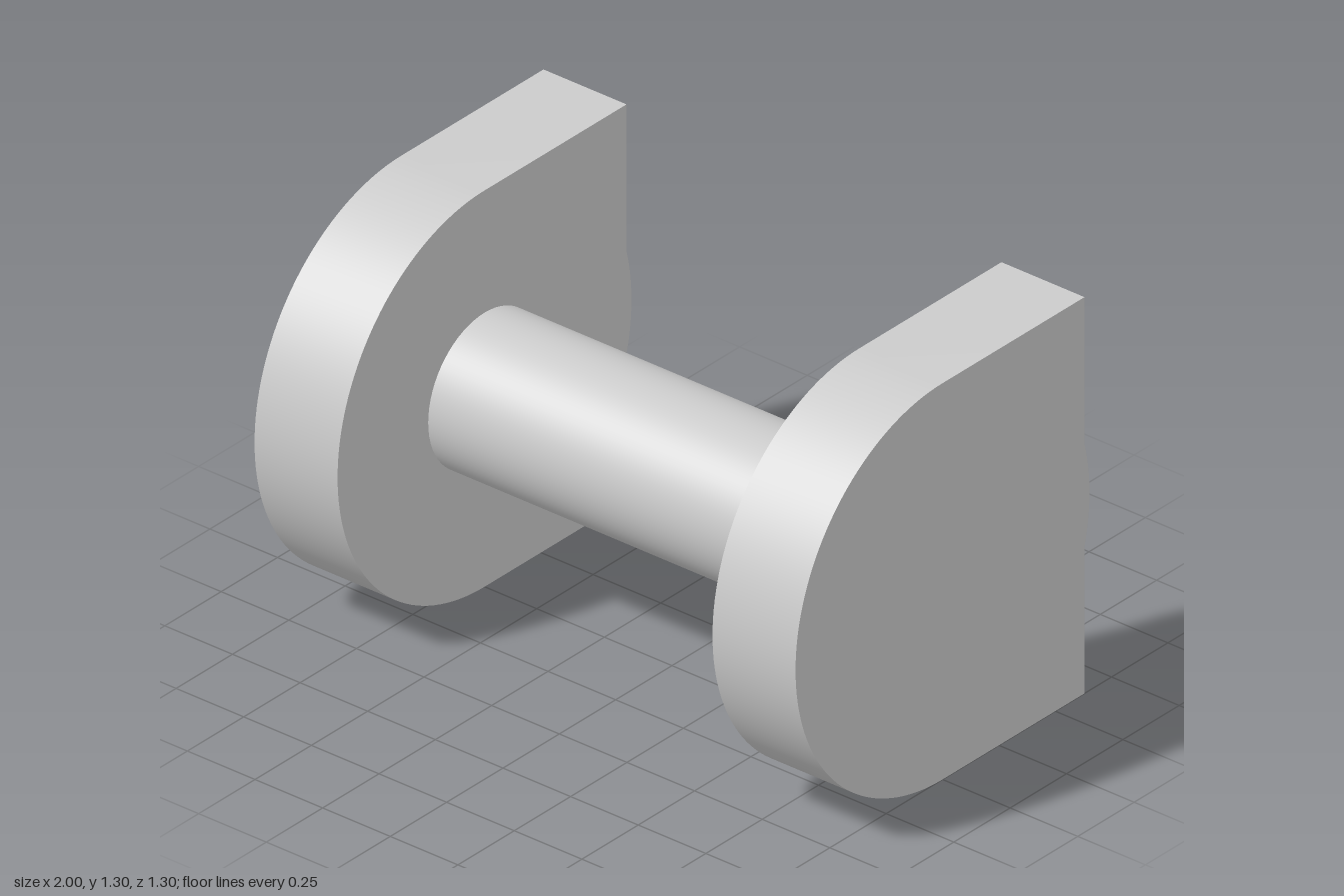
import * as THREE from 'three';
import { toCreasedNormals } from 'three/addons/utils/BufferGeometryUtils.js';

const R = 0.652;        // radius of the rounded plate edge
const BACK = 0.63;      // distance from axle to the flat back edge
const INNER = 0.693;    // inner face of each plate
const THICK = 1 - INNER;

// D-shaped outline: half-round front, square back with a shallow round bulge
function plateGeometry() {
  const a = Math.acos(BACK / R);
  const s = new THREE.Shape();
  s.moveTo(0, R);
  s.absarc(0, 0, R, Math.PI / 2, Math.PI * 1.5, false);
  s.lineTo(BACK, -R);
  s.lineTo(BACK, -R * Math.sin(a));
  s.absarc(0, 0, R, -a, a, false);
  s.lineTo(BACK, R);
  s.closePath();
  const g = new THREE.ExtrudeGeometry(s, { depth: THICK, bevelEnabled: false, curveSegments: 36 });
  g.translate(0, 0, -THICK / 2);
  g.rotateY(Math.PI / 2); // thickness along x, flat edge to the back
  return toCreasedNormals(g, 0.2);
}

export function createModel() {
  const group = new THREE.Group();
  group.name = 'spool';
  const material = new THREE.MeshStandardMaterial({ color: 0xcccccc });

  // End plates
  const plate = plateGeometry();
  for (const [name, side] of [['leftEndPlate', 1], ['rightEndPlate', -1]]) {
    const mesh = new THREE.Mesh(plate, material);
    mesh.name = name;
    mesh.position.set(side * (INNER + THICK / 2), R, 0);
    group.add(mesh);
  }

  // Axle between the plates
  const axle = new THREE.Mesh(new THREE.CylinderGeometry(0.25, 0.25, INNER * 2, 64, 1, true), material);
  axle.name = 'axle';
  axle.rotation.z = Math.PI / 2;
  axle.position.y = R;
  group.add(axle);

  return group;
}
